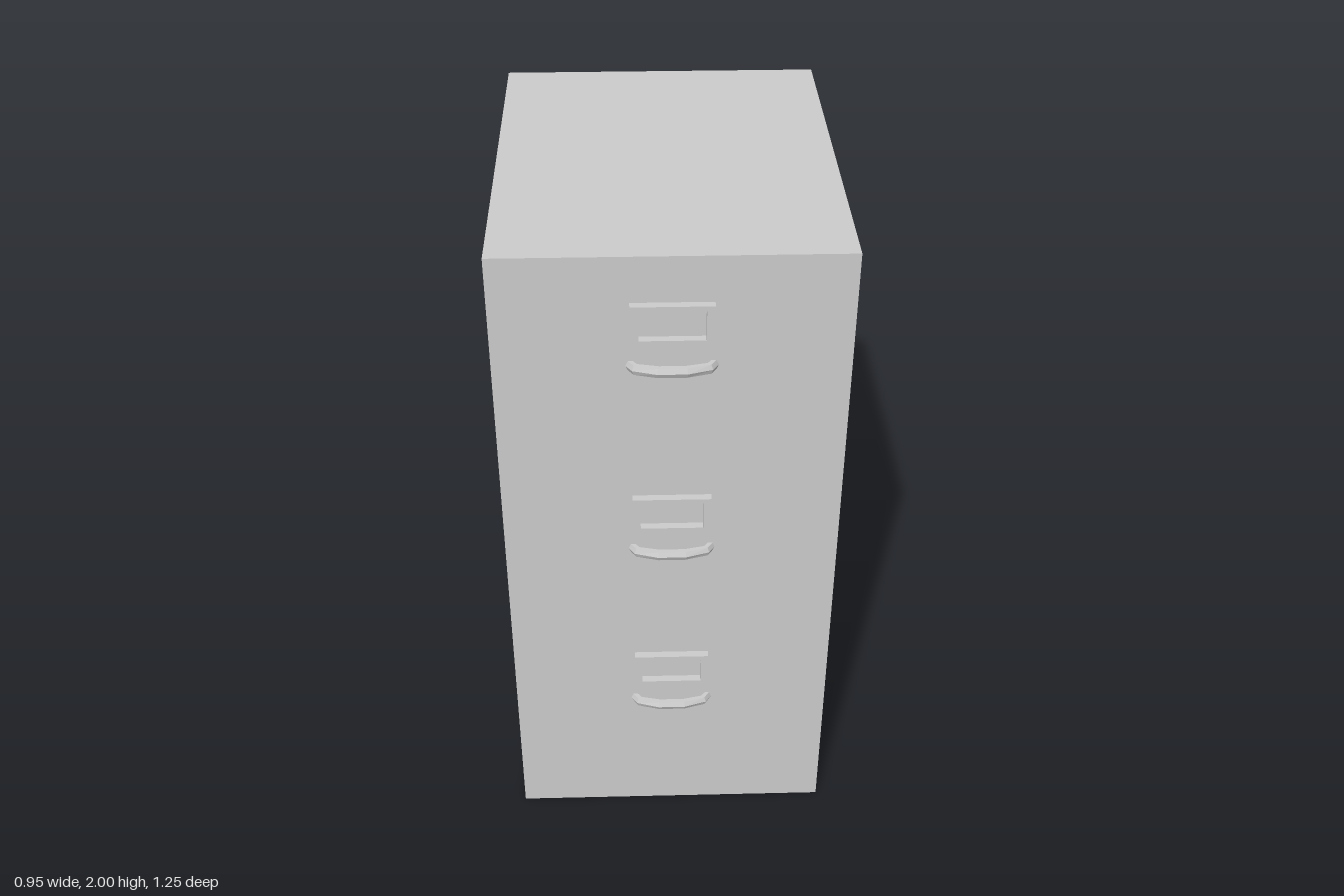
import * as THREE from 'three';

const material = new THREE.MeshStandardMaterial({ color: 0xcccccc, side: THREE.DoubleSide });
const handleMaterial = new THREE.MeshStandardMaterial({ color: 0xcccccc, side: THREE.DoubleSide, flatShading: true });
const FRONT = 0.575;

// Thin-walled cabinet shell, open underneath
function createCabinet() {
  const geometry = new THREE.BoxGeometry(0.95, 2, 1.2);
  const index = Array.from(geometry.index.array);
  index.splice(18, 6); // drop the bottom face
  geometry.setIndex(index);
  geometry.clearGroups();
  geometry.translate(0, 1, -0.025);
  const cabinet = new THREE.Mesh(geometry, material);
  cabinet.name = 'cabinet';
  return cabinet;
}

// Rectangular label holder with a window
function createLabelFrame() {
  const rectangle = (path, x, y) => path.moveTo(-x, -y).lineTo(x, -y).lineTo(x, y).lineTo(-x, y).closePath();
  const shape = rectangle(new THREE.Shape(), 0.11, 0.058);
  shape.holes.push(rectangle(new THREE.Path(), 0.088, 0.043));
  const geometry = new THREE.ExtrudeGeometry(shape, { depth: 0.023, bevelEnabled: false });
  const frame = new THREE.Mesh(geometry, material);
  frame.name = 'labelFrame';
  return frame;
}

// Bowed pull: six-sided sections between an outer and an inner outline
function createHandle() {
  // outer x, outer z, inner x, inner z, measured from the drawer front
  const half = [
    [0.125, -0.003, 0.098, -0.003],
    [0.106, 0.026, 0.088, 0.01],
    [0.04, 0.046, 0.034, 0.02],
  ];
  const stations = [
    ...half,
    ...half.slice().reverse().map(([ox, oz, ix, iz]) => [-ox, oz, -ix, iz]),
  ];
  const sides = 6;
  const positions = [];
  const index = [];
  stations.forEach(([ox, oz, ix, iz], s) => {
    for (let i = 0; i < sides; i++) {
      const angle = (i / sides) * Math.PI * 2;
      const t = (1 + Math.cos(angle)) / 2;
      positions.push(ix + (ox - ix) * t, 0.0165 * Math.sin(angle), iz + (oz - iz) * t);
      if (s === 0) continue;
      const a = (s - 1) * sides + i;
      const b = (s - 1) * sides + ((i + 1) % sides);
      index.push(a, b, a + sides, b, b + sides, a + sides);
    }
  });
  const geometry = new THREE.BufferGeometry();
  geometry.setAttribute('position', new THREE.Float32BufferAttribute(positions, 3));
  geometry.setIndex(index);
  geometry.computeVertexNormals();
  const handle = new THREE.Mesh(geometry, handleMaterial);
  handle.name = 'handle';
  return handle;
}

export function createModel() {
  const model = new THREE.Group();
  model.name = 'filingCabinet';
  model.add(createCabinet());

  // One label frame and handle per drawer
  [0.457, 1.057, 1.677].forEach((y) => {
    const fittings = new THREE.Group();
    fittings.name = 'drawerFittings';
    fittings.position.set(0, y, FRONT);
    const frame = createLabelFrame();
    frame.position.y = 0.132;
    fittings.add(frame, createHandle());
    model.add(fittings);
  });
  return model;
}
